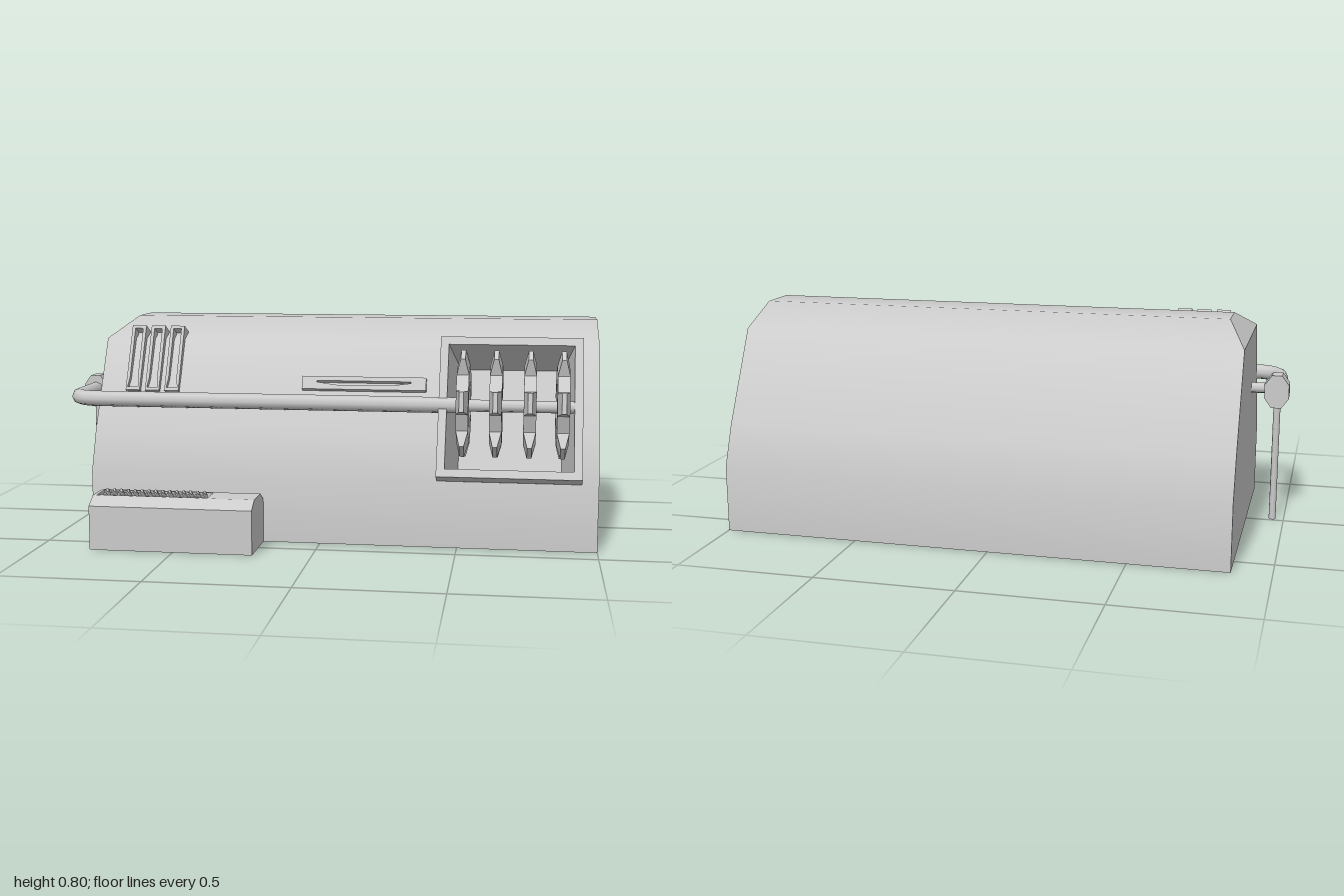
import * as THREE from 'three';

const smooth = new THREE.MeshStandardMaterial({ color: 0xcccccc, side: THREE.DoubleSide });
const flat = new THREE.MeshStandardMaterial({ color: 0xcccccc, side: THREE.DoubleSide, flatShading: true });

function add(parent, name, geo, mat = flat, x = 0, y = 0, z = 0) {
  const m = new THREE.Mesh(geo, mat);
  m.name = name;
  m.position.set(x, y, z);
  parent.add(m);
  return m;
}

function build(pos, idx, nor) {
  const g = new THREE.BufferGeometry();
  g.setAttribute('position', new THREE.Float32BufferAttribute(pos, 3));
  g.setIndex(idx);
  if (nor) g.setAttribute('normal', new THREE.Float32BufferAttribute(nor, 3));
  else g.computeVertexNormals();
  return g;
}

// Skin along x over part of a [z, y] profile, normals smoothed over the whole profile
function skin(profile, x0, x1, from = 0, to = profile.length - 1) {
  const pos = [], nor = [], idx = [];
  const start = typeof x0 === 'function' ? x0 : () => x0;
  const last = profile.length - 1;
  for (let i = from; i <= to; i++) {
    const [z, y] = profile[i];
    const n = new THREE.Vector2();
    for (const s of [i - 1, i]) {
      if (s < 0 || s >= last) continue;
      const a = profile[s], b = profile[s + 1];
      n.add(new THREE.Vector2(b[1] - a[1], a[0] - b[0]).normalize());
    }
    n.normalize();
    pos.push(start(y), y, z, x1, y, z);
    nor.push(0, n.y, n.x, 0, n.y, n.x);
    const k = (i - from) * 2;
    if (i < to) idx.push(k, k + 1, k + 3, k, k + 3, k + 2);
  }
  return build(pos, idx, nor);
}

const shapeOf = pts => new THREE.Shape(pts.map(p => new THREE.Vector2(p[0], p[1])));
const endCap = profile => new THREE.ShapeGeometry(shapeOf(profile)).rotateY(-Math.PI / 2);
const rect = (w, h) => [[-w / 2, -h / 2], [w / 2, -h / 2], [w / 2, h / 2], [-w / 2, h / 2]];

// Raised rim with an opening, extruded along z
function rim(w, h, depth, hole) {
  const s = shapeOf(rect(w, h));
  s.holes.push(new THREE.Path(hole.map(p => new THREE.Vector2(p[0], p[1]))));
  return new THREE.ExtrudeGeometry(s, { depth, bevelEnabled: false });
}

// Open tray sunk along -z, its floor narrowed in x
function tray(w, h, depth, taper = 0) {
  const pos = [];
  for (const [x, y] of rect(w, h)) pos.push(x, y, 0);
  for (const [x, y] of rect(w - 2 * taper, h)) pos.push(x, y, -depth);
  const idx = [4, 5, 6, 4, 6, 7];
  for (let i = 0; i < 4; i++) {
    const j = (i + 1) % 4;
    idx.push(i, i + 4, j, j, i + 4, j + 4);
  }
  return build(pos, idx);
}

// Toothed wheel around the x axis, thinner towards the tips
function wheel(teeth, root, tip, bore, half, tipHalf, phase) {
  const pts = [];
  const step = Math.PI * 2 / teeth;
  for (let i = 0; i < teeth; i++) {
    const a = phase + i * step;
    for (const [f, r] of [[-0.28, root], [-0.17, tip], [0.17, tip], [0.28, root]]) {
      pts.push([r * Math.cos(a + f * step), r * Math.sin(a + f * step)]);
    }
  }
  const s = shapeOf(pts);
  s.holes.push(new THREE.Path().absarc(0, 0, bore, 0, Math.PI * 2, true));
  const g = new THREE.ExtrudeGeometry(s, { depth: 1, bevelEnabled: false, curveSegments: 6 });
  const p = g.attributes.position;
  for (let i = 0; i < p.count; i++) {
    const t = Math.hypot(p.getX(i), p.getY(i)) > (root + tip) / 2 ? tipHalf : half;
    p.setZ(i, (p.getZ(i) - 0.5) * 2 * t);
  }
  return g.rotateY(-Math.PI / 2);
}

export function createModel() {
  const model = new THREE.Group();
  model.name = 'rollMachine';

  // Housing: arched shell, open below, with an opening in the front slope
  const arch = [[0.405, 0], [0.405, 0.245], [0.348, 0.395], [0.175, 0.725], [-0.025, 0.8],
    [-0.185, 0.8], [-0.38, 0.725], [-0.555, 0.395], [-0.615, 0.245], [-0.615, 0]];
  const leftX = y => -0.86 + Math.max(0, y - 0.725) * 0.93;
  const body = new THREE.Group();
  body.name = 'housing';
  model.add(body);
  add(body, 'lowerFrontWall', skin(arch, -0.86, 1, 0, 1), smooth);
  add(body, 'frontSlope', skin(arch, -0.86, 0.44, 1, 3), smooth);
  add(body, 'frontSlopeEdge', skin(arch, 0.925, 1, 1, 3), smooth);
  add(body, 'roofAndBack', skin(arch, leftX, 1, 3, 9), smooth);
  add(body, 'endWall', endCap(arch), flat, 1);
  add(body, 'chamferedEndWall', endCap(arch.filter(p => p[1] < 0.75)), flat, -0.86);
  const corner = arch.slice(3, 7).flatMap(([z, y]) => [leftX(y), y, z]);
  add(body, 'endChamfer', build(corner, [0, 1, 2, 0, 2, 3]), flat);

  // Everything set on the slope shares one tilted frame
  const slope = new THREE.Group();
  slope.name = 'slopeFittings';
  slope.position.set(0, 0.485, 0.29);
  slope.rotation.x = -Math.atan2(0.23, 0.48);
  model.add(slope);

  // Gear window and its recess
  add(slope, 'gearWindowFrame', rim(0.515, 0.532, 0.06, rect(0.455, 0.472)), flat, 0.6825);
  add(slope, 'gearRecess', tray(0.455, 0.472, 0.28, 0.035), flat, 0.6825, 0, 0.06);

  // Three vents
  for (let i = 0; i < 3; i++) {
    const x = -0.732 + i * 0.075;
    const hole = [[-0.021, -0.118], [0.021, -0.118], [0.015, -0.08], [0.015, 0.118], [-0.015, 0.118], [-0.015, -0.08]];
    add(slope, 'vent', rim(0.054, 0.26, 0.062, hole), flat, x, 0.18, -0.037);
    add(slope, 'ventFloor', new THREE.BoxGeometry(0.05, 0.25, 0.01), flat, x, 0.18, -0.025);
  }

  // Slot with a curved slit
  const slit = [[-0.175, 0.002], [-0.1, -0.008], [0.1, -0.008], [0.175, 0.002], [0.175, 0.008], [-0.175, 0.008]];
  add(slope, 'slot', rim(0.46, 0.05, 0.06, slit), flat, 0.145, 0.09, -0.03);
  add(slope, 'slotFloor', new THREE.PlaneGeometry(0.45, 0.045), flat, 0.145, 0.09, 0.005);

  // Gears on their axle
  const gearGeo = wheel(6, 0.145, 0.202, 0.085, 0.022, 0.008, 0.17);
  const boreGeo = new THREE.LatheGeometry([[0.085, 0.022], [0.05, 0.008], [0.05, -0.008], [0.085, -0.022]]
    .map(p => new THREE.Vector2(p[0], p[1])), 12).rotateZ(Math.PI / 2);
  for (const x of [0.515, 0.632, 0.752, 0.868]) {
    add(model, 'gear', gearGeo, flat, x, 0.515, 0.325);
    add(model, 'gearBore', boreGeo, flat, x, 0.515, 0.325);
  }
  add(model, 'axle', new THREE.CylinderGeometry(0.022, 0.022, 0.43, 8).rotateZ(Math.PI / 2), smooth, 0.695, 0.51, 0.325);

  // Pipe wrapping round the corner
  const path = new THREE.CurvePath();
  const v = (x, z) => new THREE.Vector3(x, 0.51, z);
  path.add(new THREE.LineCurve3(v(-0.955, 0.04), v(-0.955, 0.22)));
  path.add(new THREE.QuadraticBezierCurve3(v(-0.955, 0.22), v(-0.955, 0.325), v(-0.84, 0.325)));
  path.add(new THREE.LineCurve3(v(-0.84, 0.325), v(0.49, 0.325)));
  add(model, 'pipe', new THREE.TubeGeometry(path, 80, 0.029, 8), smooth);
  add(model, 'pipeEnd', new THREE.CircleGeometry(0.029, 8).rotateY(Math.PI / 2), flat, 0.49, 0.51, 0.325);

  // Pipe joint, stub into the wall and drain rod
  const joint = new THREE.CylinderGeometry(0.067, 0.067, 0.065, 8).rotateY(Math.PI / 8);
  add(model, 'pipeJoint', joint.rotateX(Math.PI / 2).scale(0.73, 1, 1), flat, -0.955, 0.503, 0.022);
  add(model, 'wallStub', new THREE.CylinderGeometry(0.02, 0.02, 0.1, 8).rotateZ(Math.PI / 2), smooth, -0.9, 0.51, 0.02);
  add(model, 'drainRod', new THREE.CylinderGeometry(0.013, 0.013, 0.46, 8), smooth, -0.957, 0.23, 0.02);

  // Low front box, open below, with a trough of small wheels
  const box = [[0.615, 0], [0.615, 0.16], [0.565, 0.19], [0.455, 0.19], [0.405, 0.16], [0.405, 0]];
  const tank = new THREE.Group();
  tank.name = 'frontBox';
  model.add(tank);
  add(tank, 'boxFront', skin(box, -0.805, -0.21, 0, 2), flat);
  add(tank, 'boxBack', skin(box, -0.805, -0.21, 3, 5), flat);
  for (const x of [-0.805, -0.21]) add(tank, 'boxEnd', endCap(box), flat, x);
  const top = shapeOf(rect(0.595, 0.11));
  top.holes.push(new THREE.Path(rect(0.41, 0.09).map(p => new THREE.Vector2(p[0] - 0.08, p[1]))));
  add(tank, 'boxTop', new THREE.ShapeGeometry(top).rotateX(-Math.PI / 2), flat, -0.5075, 0.19, 0.51);
  add(tank, 'trough', tray(0.41, 0.09, 0.07).rotateX(-Math.PI / 2), flat, -0.5875, 0.19, 0.51);
  const small = wheel(8, 0.03, 0.041, 0.008, 0.007, 0.003, 0.3);
  for (let i = 0; i < 15; i++) add(tank, 'smallWheel', small, flat, -0.77 + i * 0.026, 0.163, 0.51);
  add(tank, 'spindle', new THREE.CylinderGeometry(0.012, 0.012, 0.41, 8).rotateZ(Math.PI / 2), smooth, -0.5875, 0.163, 0.51);

  return model;
}
